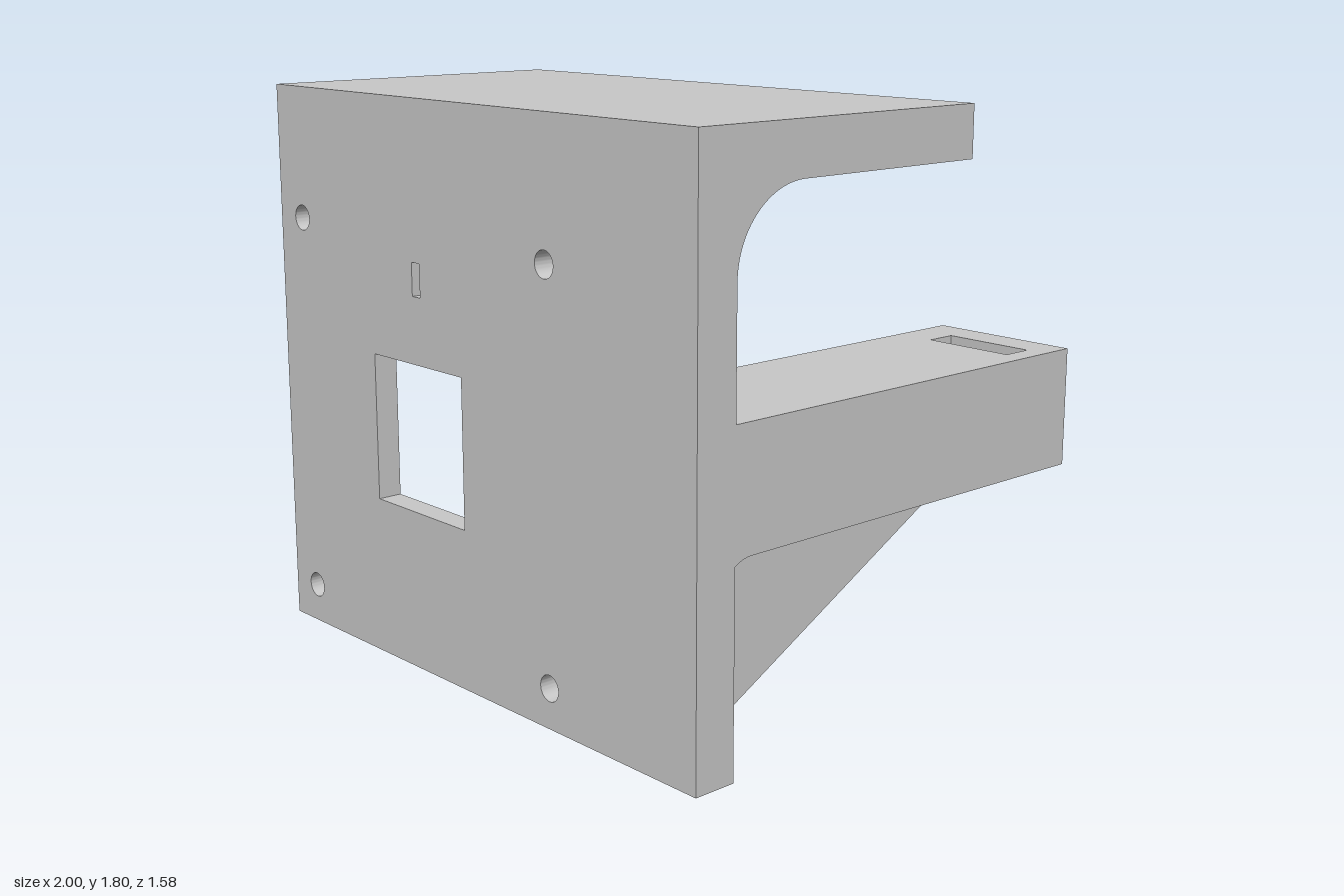
import * as THREE from 'three';
import { toCreasedNormals } from 'three/addons/utils/BufferGeometryUtils.js';

const grey = new THREE.MeshStandardMaterial({ color: 0xc8c8c8 });
grey.name = 'grey plastic';

function extrude(shape, depth) {
  return new THREE.ExtrudeGeometry(shape, { depth, bevelEnabled: false, curveSegments: 24 });
}

function rectPath(x0, x1, y0, y1) {
  return new THREE.Path([[x0, y0], [x0, y1], [x1, y1], [x1, y0]].map(p => new THREE.Vector2(...p)));
}

// Fillet under the arm: cross-sections stepped in z, ending on the arm's swept side
function underArmFillet(sweep, radius, armBottom, panelZ, xEnd) {
  const steps = 20, points = [], index = [];
  for (let i = 0; i <= steps; i++) {
    const a = (i / steps) * Math.PI / 2;
    const z = panelZ - radius + radius * Math.sin(a);
    const y = armBottom - radius + radius * Math.cos(a);
    const dz = z - (panelZ - sweep);
    const x = 0.5 - sweep + Math.sqrt(Math.max(0, sweep * sweep - dz * dz));
    points.push(x, armBottom, z, x, y, z, xEnd, y, z);
    if (i === steps) break;
    for (const p of [i * 3, i * 3 + 1]) {
      index.push(p, p + 1, p + 3, p + 1, p + 4, p + 3);
    }
  }
  const geometry = new THREE.BufferGeometry();
  geometry.setAttribute('position', new THREE.Float32BufferAttribute(points, 3));
  geometry.setIndex(index);
  geometry.computeVertexNormals();
  return geometry;
}

export function createModel() {
  const model = new THREE.Group();
  model.name = 'wallBracket';

  function add(name, geometry) {
    const mesh = new THREE.Mesh(toCreasedNormals(geometry, 0.5), grey);
    mesh.name = name;
    model.add(mesh);
  }
  // Side profiles are drawn as (-z, y) and extruded along x
  const addProfile = (name, shape, x0, x1) =>
    add(name, extrude(shape, x1 - x0).rotateY(Math.PI / 2).translate(x0, 0, 0));

  const front = 0.79, top = 1.8, backEdge = -0.29, rim = 0.93;
  const seam = 1.42; // where the flat panel meets the curved corner

  // Front panel with window, small slot and four screw holes
  const panel = new THREE.Shape();
  panel.moveTo(-rim, 0).lineTo(rim, 0).lineTo(rim, seam).lineTo(-rim, seam).closePath();
  panel.holes.push(rectPath(-0.48, -0.025, 0.515, 0.988), rectPath(-0.265, -0.225, 1.2, 1.305));
  for (const x of [-0.875, 0.375]) {
    for (const y of [0.127, 1.377]) {
      panel.holes.push(new THREE.Path().absarc(x, y, 0.041, 0, Math.PI * 2, true));
    }
  }
  add('frontPanel', extrude(panel, 0.08).translate(0, 0, 0.71));

  // Curved corner and top panel, between the rims
  const hood = new THREE.Shape();
  hood.moveTo(-backEdge, top).lineTo(-front, top).lineTo(-front, seam).lineTo(-0.71, seam);
  hood.absellipse(-0.4, seam, 0.31, 1.7 - seam, Math.PI, Math.PI / 2, true);
  hood.lineTo(-backEdge, 1.7).closePath();
  addProfile('topPanel', hood, -rim, rim);

  // Thicker rims along both ends
  const edge = new THREE.Shape();
  edge.moveTo(-front, 0).lineTo(-0.65, 0).lineTo(-0.65, 1.39);
  edge.absarc(-0.4, 1.39, 0.25, Math.PI, Math.PI / 2, true);
  edge.lineTo(-backEdge, 1.64).lineTo(-backEdge, top).lineTo(-front, top).closePath();
  addProfile('rightRim', edge, -1, -rim);
  addProfile('leftRim', edge, rim, 1);

  // Arm in plan (x, -z), sweeping into the panel, with a strap slot
  const sweep = 0.5;
  const arm = new THREE.Shape();
  arm.moveTo(0.5 - sweep, -0.71);
  arm.lineTo(rim, -0.71).lineTo(rim, -0.65).lineTo(1, -0.65).lineTo(1, 0.79).lineTo(0.5, 0.79);
  arm.lineTo(0.5, sweep - 0.71);
  arm.absarc(0.5 - sweep, sweep - 0.71, sweep, 0, -Math.PI / 2, true);
  arm.holes.push(rectPath(0.628, 0.93, 0.577, 0.677));
  add('arm', extrude(arm, 0.373).rotateX(-Math.PI / 2).translate(0, 0.64, 0));

  // Fillet from the arm's underside to the panel, and its end over the rim
  add('underArmFillet', underArmFillet(sweep, 0.125, 0.64, 0.71, rim));
  const fillet = new THREE.Shape();
  fillet.moveTo(-0.585, 0.64).lineTo(-0.65, 0.64);
  fillet.absarc(-0.585, 0.515, 0.125, 2.117, Math.PI / 2, true);
  addProfile('rimFillet', fillet, rim, 1);

  // Sloping support rib under the arm
  const rib = new THREE.Shape();
  rib.moveTo(-0.71, 0.003).lineTo(0.37, 0.588);
  rib.quadraticCurveTo(0.46, 0.64, 0.58, 0.64);
  rib.lineTo(-0.71, 0.64).closePath();
  addProfile('supportRib', rib, 0.685, 0.825);

  return model;
}
